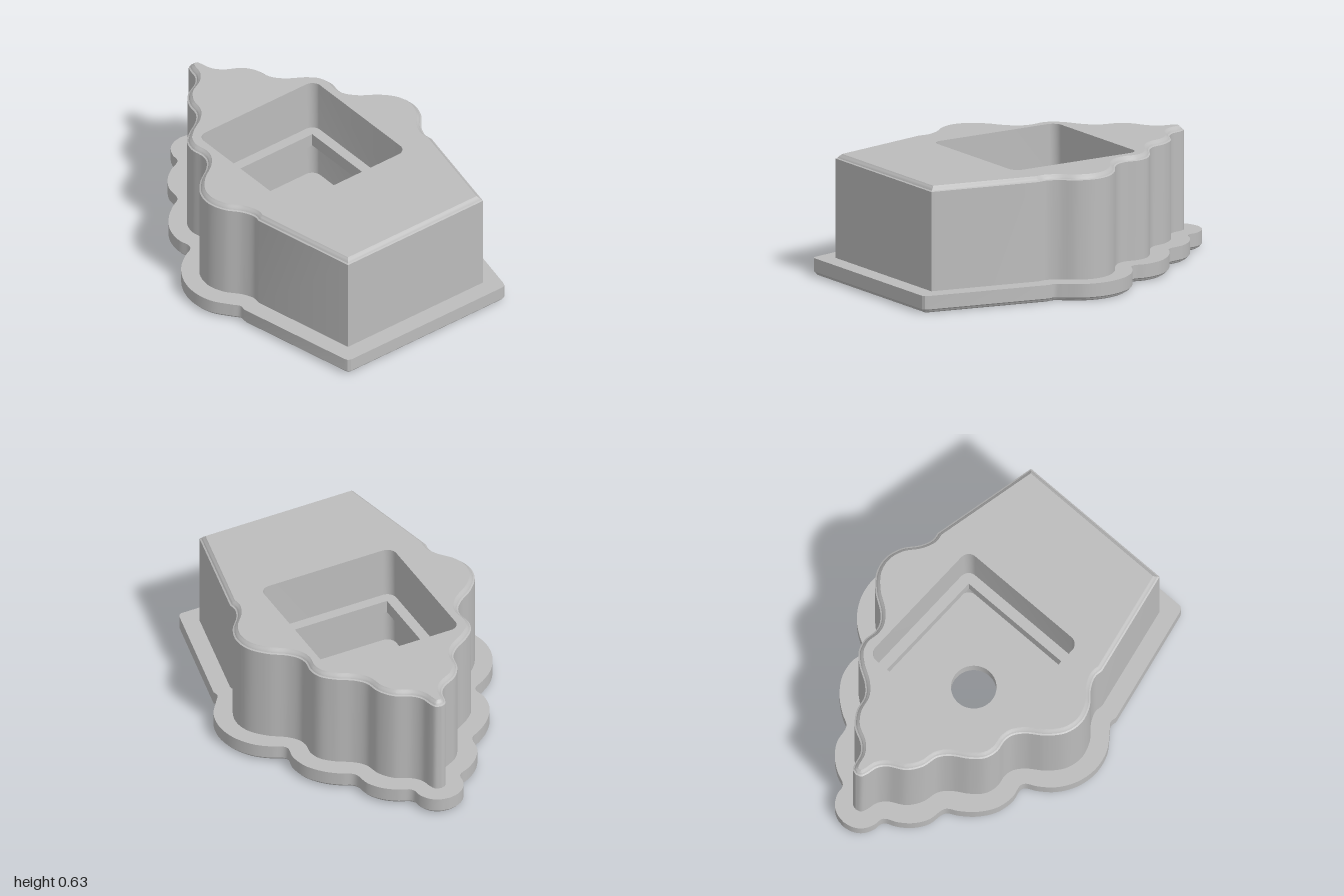
import * as THREE from 'three';
import { toCreasedNormals } from 'three/addons/utils/BufferGeometryUtils.js';

// Outlines are counter-clockwise 2D points: x to the side, y towards the back (-z).
const V = (x, y) => new THREE.Vector2(x, y);

// Symmetric outline: straight front corners, then a smooth wavy edge up to the tip.
function outline(corners, wave, samples) {
  const curve = new THREE.CatmullRomCurve3(wave.map(([x, z]) => new THREE.Vector3(x, -z, 0)), false, 'centripetal');
  const half = corners.map(([x, z]) => V(x, -z));
  curve.getSpacedPoints(samples).forEach(p => half.push(V(p.x, p.y)));
  half[half.length - 1].x = 0;
  return [...half, ...half.slice(0, -1).reverse().map(p => V(-p.x, p.y))];
}

// Moves an outline inwards by d with mitred corners.
function inset(pts, d) {
  const n = pts.length;
  return pts.map((p, i) => {
    const a = p.clone().sub(pts[(i + n - 1) % n]).normalize();
    const b = pts[(i + 1) % n].clone().sub(p).normalize();
    const m = V(-a.y - b.y, a.x + b.x).normalize();
    const k = Math.max(0.5, m.x * -a.y + m.y * a.x);
    return p.clone().addScaledVector(m, d / k);
  });
}

function roundedSquare(half, r, cy, steps) {
  const pts = [];
  for (let c = 0; c < 4; c++) {
    const sx = c === 0 || c === 3 ? 1 : -1, sy = c < 2 ? 1 : -1;
    for (let k = 0; k <= steps; k++) {
      const a = (c + (steps ? k / steps : 0)) * Math.PI / 2;
      pts.push(V(sx * (half - r) + r * Math.cos(a), cy + sy * (half - r) + r * Math.sin(a)));
    }
  }
  return pts;
}

// Wall through a stack of [outline, height] rings; inward walls face the middle.
function wall(rings, inward = false) {
  const pos = [];
  for (let r = 0; r < rings.length - 1; r++) {
    const [lo, y0] = rings[r], [hi, y1] = rings[r + 1];
    for (let i = 0; i < lo.length; i++) {
      const j = (i + 1) % lo.length;
      const a = [lo[i].x, y0, -lo[i].y], b = [lo[j].x, y0, -lo[j].y];
      const c = [hi[j].x, y1, -hi[j].y], d = [hi[i].x, y1, -hi[i].y];
      pos.push(...(inward ? [a, c, b, a, d, c] : [a, b, c, a, c, d]).flat());
    }
  }
  const g = new THREE.BufferGeometry();
  g.setAttribute('position', new THREE.Float32BufferAttribute(pos, 3));
  return toCreasedNormals(g, 0.45);
}

// Flat face at height y, with optional holes.
function face(pts, holes, y, up = true) {
  const shape = new THREE.Shape(pts);
  holes.forEach(h => shape.holes.push(new THREE.Path(h)));
  const g = new THREE.ShapeGeometry(shape).rotateX(-Math.PI / 2);
  if (!up) {
    const ix = g.index;
    for (let i = 0; i < ix.count; i += 3) {
      const t = ix.getX(i);
      ix.setX(i, ix.getX(i + 1));
      ix.setX(i + 1, t);
    }
    g.computeVertexNormals();
  }
  return g.translate(0, y, 0);
}

export function createModel() {
  const model = new THREE.Group();
  const grey = new THREE.MeshStandardMaterial({ color: 0xbcbcbc });
  grey.name = 'plain grey';
  const part = (name, ...geometries) => {
    const group = new THREE.Group();
    group.name = name;
    geometries.forEach(g => group.add(new THREE.Mesh(g, grey)));
    model.add(group);
  };

  const plate = outline([[0.49, 0.998], [0.505, 0.99], [0.513, 0.97]], [
    [0.65, 0.335], [0.645, 0.3], [0.67, 0.265], [0.735, 0.17], [0.757, 0.06], [0.735, -0.05],
    [0.675, -0.145], [0.6, -0.205], [0.545, -0.235], [0.533, -0.258], [0.545, -0.33], [0.525, -0.425],
    [0.465, -0.51], [0.39, -0.57], [0.34, -0.598], [0.327, -0.62], [0.312, -0.7], [0.265, -0.77],
    [0.2, -0.82], [0.145, -0.845], [0.13, -0.865], [0.125, -0.905], [0.095, -0.96], [0.05, -0.99], [0, -1],
  ], 130);
  const block = outline([[0.435, 0.905]], [
    [0.556, 0.335], [0.551, 0.29], [0.575, 0.23], [0.637, 0.15], [0.664, 0.06], [0.645, -0.03],
    [0.58, -0.11], [0.49, -0.175], [0.45, -0.225], [0.44, -0.27], [0.449, -0.34], [0.43, -0.405],
    [0.375, -0.46], [0.29, -0.515], [0.247, -0.565], [0.225, -0.65], [0.175, -0.72], [0.09, -0.77],
    [0.057, -0.81], [0.042, -0.868], [0.028, -0.898], [0, -0.908],
  ], 130);

  const middle = 0.015;
  const pocket = roundedSquare(0.375, 0.05, middle, 8);
  const opening = roundedSquare(0.32, 0, middle, 0);
  const drain = new THREE.Path().absarc(0, middle, 0.115, 0, Math.PI * 2).getPoints(24).slice(0, -1);

  // Base plate with a softened lower edge
  const plateFoot = inset(plate, 0.022);
  part('basePlate',
    face(plateFoot, [drain], 0, false),
    wall([[plateFoot, 0], [inset(plate, 0.012), 0.006], [inset(plate, 0.008), 0.014], [plate, 0.02], [plate, 0.09]]),
    face(plate, [pocket], 0.09));

  // Wavy block with a stepped bevel around the top
  const blockTop = inset(block, 0.026);
  part('block',
    wall([[block, 0.09], [block, 0.605], [inset(block, 0.008), 0.609], [inset(block, 0.013), 0.618],
      [inset(block, 0.02), 0.623], [blockTop, 0.63]]),
    face(blockTop, [pocket], 0.63));

  // Square pocket, open at the top
  part('upperPocket', wall([[pocket, 0.35], [pocket, 0.63]], true));

  // Square lip part way down
  part('pocketLip',
    face(pocket, [opening], 0.35),
    wall([[opening, 0.28], [opening, 0.35]], true),
    face(pocket, [opening], 0.28, false));

  // Chamber under the lip, with a round hole through its floor
  part('lowerChamber',
    wall([[pocket, 0.065], [pocket, 0.28]], true),
    face(pocket, [drain], 0.065),
    wall([[drain, 0], [drain, 0.065]], true));

  return model;
}
